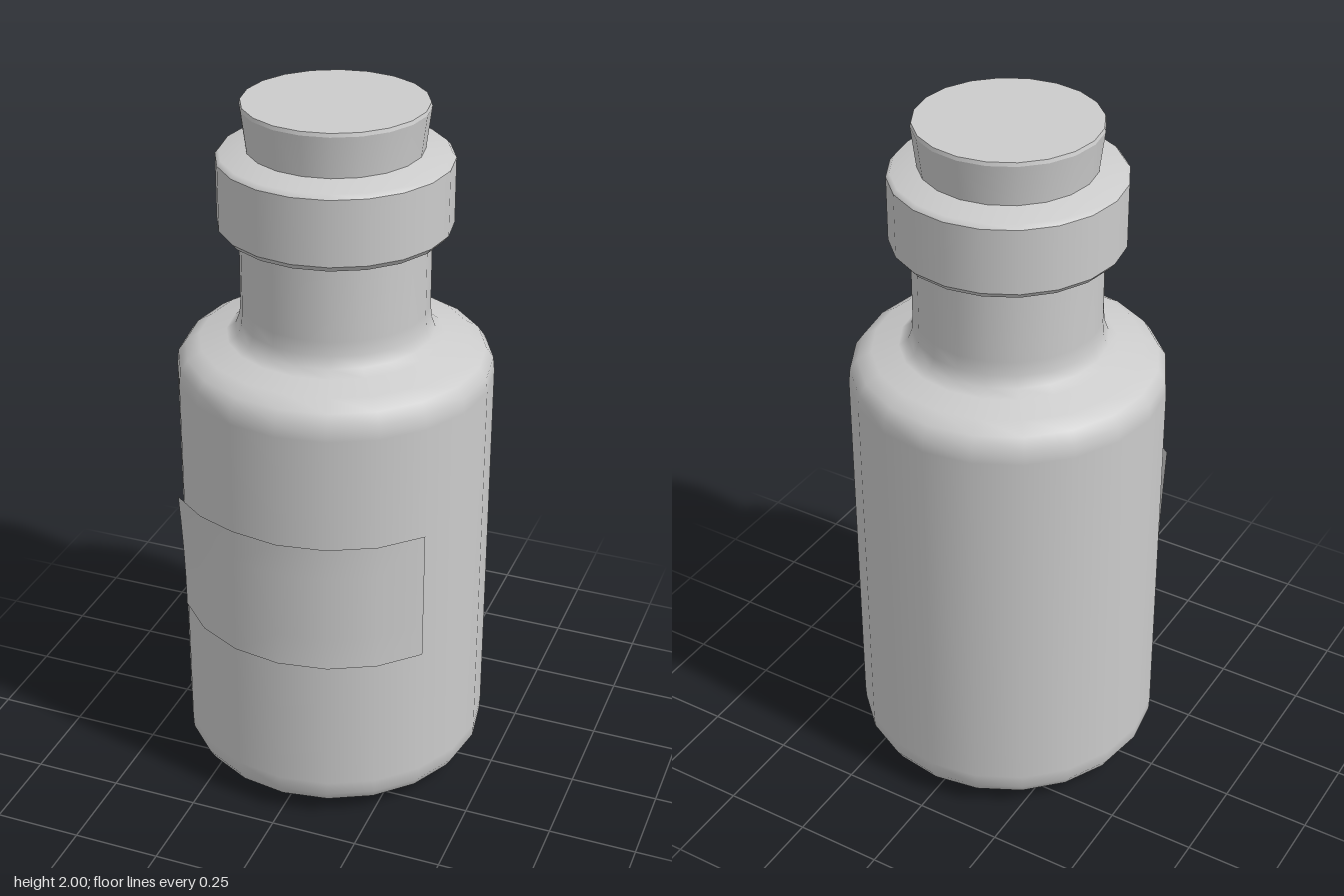
import * as THREE from 'three';

const SIDES = 20;

export function createModel() {
  const model = new THREE.Group();
  const material = new THREE.MeshStandardMaterial({ color: 0xcccccc });
  const sheet = new THREE.MeshStandardMaterial({ color: 0xcccccc, side: THREE.DoubleSide });

  // Each section is smooth; the joints between sections stay sharp.
  function turned(name, sections) {
    const group = new THREE.Group();
    group.name = name;
    for (const points of sections) {
      const profile = points.map(([r, y]) => new THREE.Vector2(r, y));
      group.add(new THREE.Mesh(new THREE.LatheGeometry(profile, SIDES), material));
    }
    model.add(group);
  }

  turned('bottleBody', [
    [[0, 0], [0.28, 0]],
    [[0.28, 0], [0.34, 0.015], [0.42, 0.05]],
    [[0.42, 0.05], [0.438, 0.08], [0.44, 0.12], [0.44, 1.23], [0.436, 1.27], [0.415, 1.3],
      [0.375, 1.325], [0.3, 1.34], [0.275, 1.358], [0.263, 1.39], [0.26, 1.43], [0.26, 1.645]],
  ]);

  turned('lip', [
    [[0.26, 1.645], [0.305, 1.652]],
    [[0.305, 1.652], [0.318, 1.668]],
    [[0.318, 1.668], [0.318, 1.85]],
    [[0.318, 1.85], [0.308, 1.862], [0.22, 1.88]],
  ]);

  turned('cork', [
    [[0, 1.46], [0.2, 1.46]],
    [[0.2, 1.46], [0.237, 1.87], [0.252, 1.99]],
    [[0.252, 1.99], [0.249, 2]],
    [[0.249, 2], [0, 2]],
  ]);

  // Label wrapped round the front, with its upper right corner lifting off
  const columns = 6;
  const rows = 4;
  const labelGeometry = new THREE.PlaneGeometry(1, 1, columns, rows);
  const position = labelGeometry.attributes.position;
  for (let i = 0; i < position.count; i++) {
    const u = position.getX(i) + 0.5;
    const v = position.getY(i) + 0.5;
    const angle = (u - 0.5) * columns * (Math.PI * 2 / SIDES);
    const peel = Math.max(0, 1 - u * 3) * v * v;
    const radius = 0.444 + 0.022 * peel;
    const turn = angle + 0.09 * peel;
    position.setXYZ(i, radius * Math.sin(turn), 0.52 + 0.385 * v, radius * Math.cos(turn));
  }
  labelGeometry.computeVertexNormals();
  const label = new THREE.Mesh(labelGeometry, sheet);
  label.name = 'label';
  model.add(label);

  return model;
}
